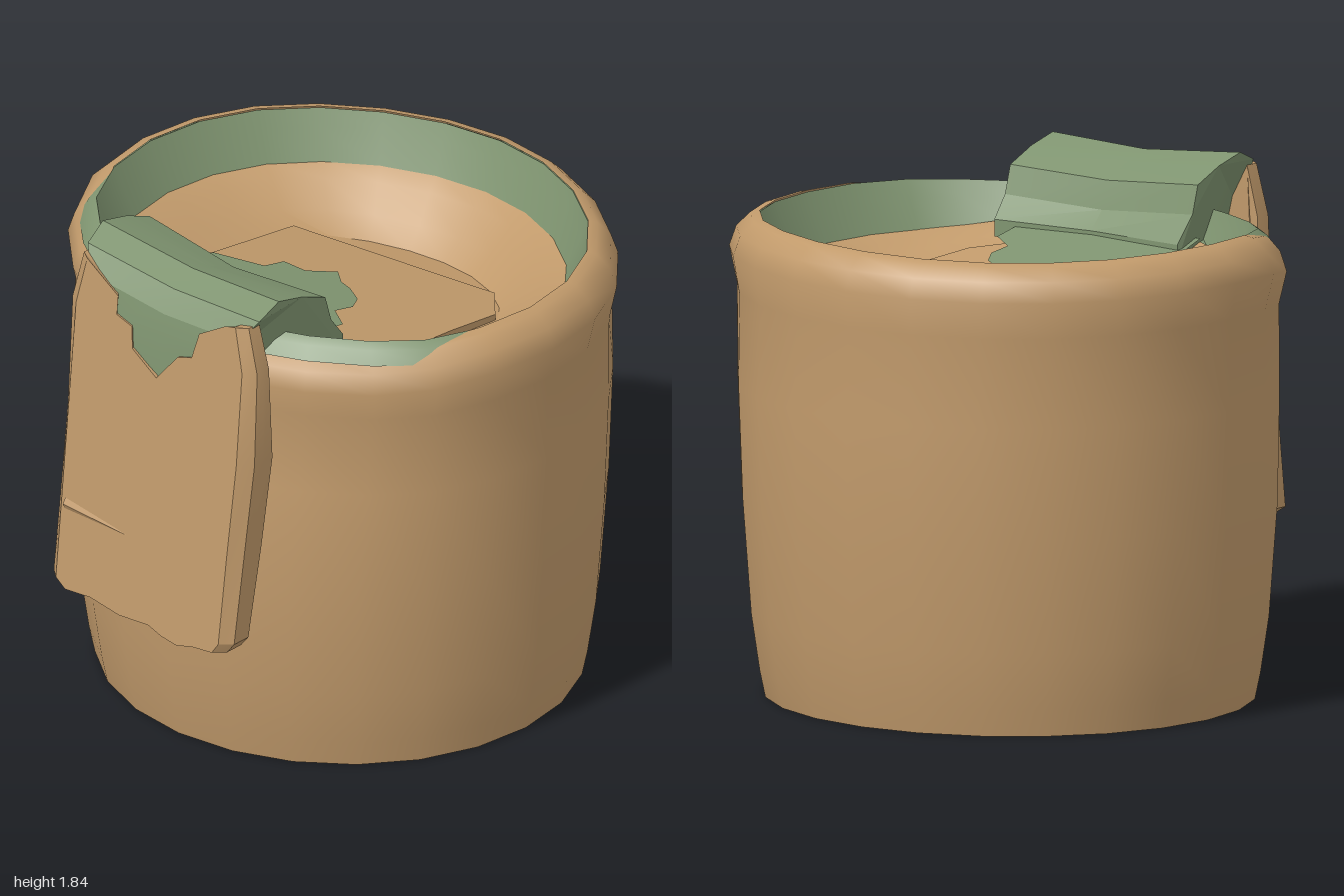
import * as THREE from 'three';
import { toCreasedNormals } from 'three/addons/utils/BufferGeometryUtils.js';

// Cloth sheets are open, so both sides show
const brown = new THREE.MeshStandardMaterial({ color: 0xc19a6b, side: THREE.DoubleSide });
const green = new THREE.MeshStandardMaterial({ color: 0x7f9470, side: THREE.DoubleSide });
const v2 = (pts) => pts.map(([x, y]) => new THREE.Vector2(x, y));
const smooth = THREE.MathUtils.smoothstep;

// Move every vertex of a geometry by a rule
function reshape(geo, rule) {
  const p = geo.attributes.position;
  const v = new THREE.Vector3();
  for (let i = 0; i < p.count; i++) {
    v.fromBufferAttribute(p, i);
    rule(v);
    p.setXYZ(i, v.x, v.y, v.z);
  }
  return geo;
}

function addMesh(group, name, geo, mat, crease = 0.6) {
  const mesh = new THREE.Mesh(toCreasedNormals(geo, crease), mat);
  mesh.name = name;
  group.add(mesh);
}

// Round section, slightly oval, with the rim sagging and pulled in at the front
function round(profile, sag) {
  return reshape(new THREE.LatheGeometry(v2(profile), 24), (v) => {
    const a = Math.atan2(v.x, v.z);
    const front = smooth(v.z, 0.3, 0.85);
    const back = smooth(-v.z, 0.3, 0.9);
    const upper = smooth(v.y, 1.2, 1.6);
    const pull = smooth(v.y, 0.7, 1.5);
    v.y += upper * (0.006 * Math.sin(3 * a) - sag * smooth(v.z, 0.15, 0.85));
    v.z = v.z * 0.965 - 0.06 - 0.095 * front * pull + 0.035 * back * upper;
  });
}

// Outer face of the hanging strap leans back towards the top
const strapFront = (y) => 0.98 - 0.1 * (y - 0.55);
// The filling slopes down towards the back
const slope = (z) => 0.18 * z;

export function createModel() {
  const model = new THREE.Group();
  model.name = 'clothPot';

  // Body: soft wall open underneath, with a rolled rim
  addMesh(model, 'body', round([
    [0.865, 0.005], [0.885, 0.1], [0.915, 0.3], [0.945, 0.7],
    [0.96, 1.1], [0.965, 1.42], [0.995, 1.55], [0.97, 1.62], [0.92, 1.668], [0.885, 1.675],
  ], 0.07), brown, 0.9);

  // Green lining, showing over the rim where it sags
  addMesh(model, 'lining', round([
    [0.955, 1.605], [0.92, 1.65], [0.885, 1.67], [0.86, 1.61], [0.8, 1.49],
  ], 0.02), green);

  // Sunken filling inside
  const filling = round([[0.81, 1.5], [0.74, 1.47], [0.65, 1.43], [0.56, 1.405], [0, 1.405]], 0.02);
  reshape(filling, (v) => {
    v.y += slope(v.z) * (1 - smooth(Math.hypot(v.x, v.z), 0.56, 0.8));
  });
  addMesh(model, 'filling', filling, brown);

  // Hanging strap with a notched top and a frayed lower edge
  const outline = new THREE.Shape(v2([
    [-0.43, 0.56], [-0.38, 0.53], [-0.25, 0.54], [-0.1, 0.52], [0.05, 0.53], [0.12, 0.51],
    [0.2, 0.5], [0.28, 0.52], [0.38, 0.53], [0.41, 0.57], [0.42, 0.9], [0.435, 1.25], [0.43, 1.6],
    [0.38, 1.76], [0.33, 1.75], [0.2, 1.68], [0.17, 1.58], [0.1, 1.56], [0, 1.45],
    [-0.13, 1.52], [-0.14, 1.6], [-0.22, 1.62], [-0.22, 1.69], [-0.39, 1.78], [-0.43, 1.6],
    [-0.43, 1.2], [-0.43, 0.85],
  ]));
  const strap = new THREE.ExtrudeGeometry(outline, { depth: 1, steps: 3, bevelEnabled: false });
  reshape(strap, (v) => {
    const depth = 0.11 + 0.03 * smooth(v.y, 0.55, 1.1) - 0.06 * smooth(v.y, 1.2, 1.75);
    if (v.z > 0.9) v.x *= 0.9;
    v.z = strapFront(v.y) - (1 - v.z) * depth;
  });
  addMesh(model, 'hangingStrap', strap, brown, 0.4);

  // Pinched crease low on the strap
  const crease = new THREE.ConeGeometry(0.022, 0.32, 4);
  crease.rotateZ(-Math.PI / 2 - 0.08);
  crease.scale(1, 1, 0.5);
  crease.translate(-0.21, 0.835, strapFront(0.835));
  addMesh(model, 'strapCrease', crease, brown, 0.2);

  // Green fold lying over the rim, tapering into the notch of the strap
  const foldProfile = new THREE.Shape(v2([
    [0.878, 1.42], [0.868, 1.6], [0.85, 1.72], [0.8, 1.8], [0.7, 1.84], [0.58, 1.81], [0.46, 1.76],
    [0.43, 1.66], [0.37, 1.56], [0.37, 1.5], [0.5, 1.5],
  ]));
  const fold = new THREE.ExtrudeGeometry(foldProfile, { depth: 0.8, steps: 2, bevelEnabled: false });
  fold.translate(0, 0, -0.4).rotateY(-Math.PI / 2);
  reshape(fold, (v) => {
    if (v.y > 1.65) v.y -= (Math.abs(v.x) < 0.1 ? 0.035 : 0) + (v.x > 0.1 ? 0.02 : 0);
    if (Math.abs(v.x) < 0.1 && v.z < 0.6) v.z += 0.03;
    if (v.z > 0.82) v.x *= v.y < 1.65 ? 0.7 : 0.86;
    if (v.x < -0.1 && v.z < 0.75 && v.z > 0.4) v.x -= 0.02;
  });
  addMesh(model, 'rimFold', fold, green, 0.2);

  // Ragged green flap hanging over the filling
  const flap = new THREE.ShapeGeometry(new THREE.Shape(v2([
    [-0.4, 0.5], [-0.45, 0.27], [-0.39, 0.16], [-0.21, 0.1], [-0.2, 0.01], [-0.1, 0.01],
    [-0.03, -0.08], [0.04, -0.02], [0.1, 0.0], [0.18, 0.05], [0.22, 0.12], [0.21, 0.2],
    [0.31, 0.27], [0.32, 0.5],
  ])));
  flap.scale(1, -1, 1).rotateX(-Math.PI / 2);
  reshape(flap, (v) => { v.y = 1.465 + 0.17 * (v.z + 0.08); });
  addMesh(model, 'innerFlap', flap, green, 0.3);

  // Thin raised layer on the filling
  const layerOutline = new THREE.Shape(v2([
    [-0.49, -0.36], [0.1, -0.46], [0.32, -0.5], [0.46, -0.35], [0.48, -0.1], [0.5, 0.05],
    [0.42, 0.25], [0.3, 0.35], [-0.46, 0.35],
  ]));
  const layer = new THREE.ExtrudeGeometry(layerOutline, { depth: 0.03, bevelEnabled: false });
  layer.rotateX(Math.PI / 2).translate(0, 1.43, 0);
  reshape(layer, (v) => { v.y += slope(v.z); });
  addMesh(model, 'fillingLayer', layer, brown, 0.3);

  return model;
}
